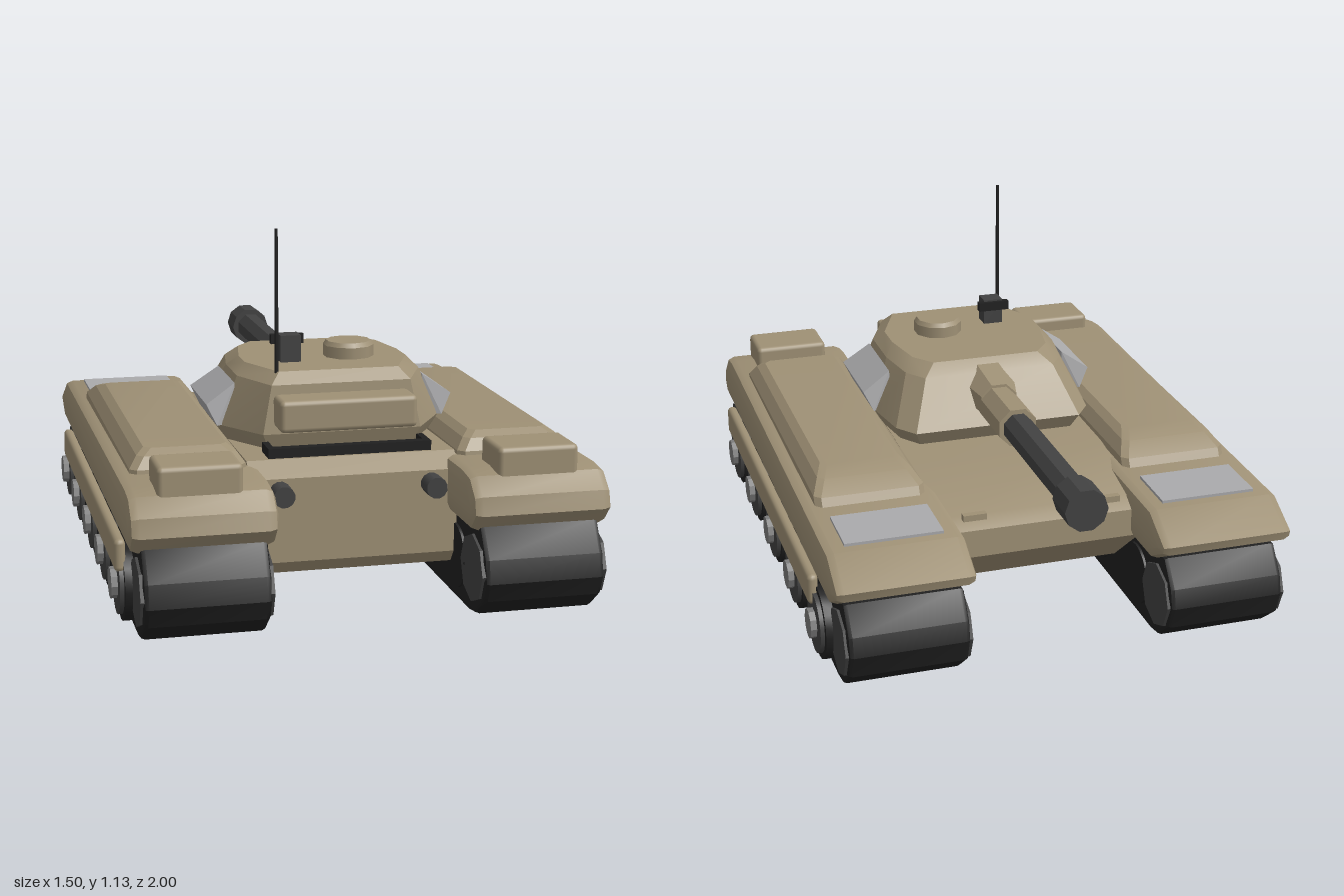
import * as THREE from 'three';
import { ConvexGeometry } from 'three/addons/geometries/ConvexGeometry.js';
import { RoundedBoxGeometry } from 'three/addons/geometries/RoundedBoxGeometry.js';
import { toCreasedNormals } from 'three/addons/utils/BufferGeometryUtils.js';

function paint(name, color) {
  const m = new THREE.MeshStandardMaterial({ color });
  m.name = name;
  return m;
}

// Side profile of [z, y] points, extruded from x0 to x1 with bevelled sides
function prism(profile, x0, x1, bevel) {
  const shape = new THREE.Shape(profile.map(([z, y]) => new THREE.Vector2(z, y)));
  const geo = new THREE.ExtrudeGeometry(shape, {
    depth: x1 - x0 - 2 * bevel, bevelEnabled: bevel > 0, bevelThickness: bevel,
    bevelSize: bevel, bevelOffset: -bevel, bevelSegments: 2,
  });
  geo.rotateY(-Math.PI / 2);
  geo.translate(x1 - bevel, 0, 0);
  return toCreasedNormals(geo, 0.5);
}

// Solid around a set of [x, y, z] points
const solid = (points) => new ConvexGeometry(points.map((p) => new THREE.Vector3(...p)));

// Rectangle ring at height y, with chamfered corners
function ring(y, w, z0, z1, c) {
  const pts = [];
  for (const s of [-1, 1]) {
    pts.push([s * w, y, z0 + c], [s * w, y, z1 - c], [s * (w - c), y, z0], [s * (w - c), y, z1]);
  }
  return pts;
}

export function createModel() {
  const root = new THREE.Group();
  root.name = 'tank';
  const tan = paint('tan armour', 0x9e9075);
  const black = paint('track black', 0x202020);
  const iron = paint('dark iron', 0x424242);
  const steel = paint('hub steel', 0x7c7c7c);
  const pale = paint('pale grey plate', 0xaaaaac);

  function add(name, geo, mat, x = 0, y = 0, z = 0) {
    const mesh = new THREE.Mesh(geo, mat);
    mesh.name = name;
    mesh.position.set(x, y, z);
    root.add(mesh);
    return mesh;
  }
  const box = (name, w, h, d, mat, x, y, z) => add(name, new THREE.BoxGeometry(w, h, d), mat, x, y, z);
  const soft = (name, w, h, d, mat, x, y, z) =>
    add(name, new RoundedBoxGeometry(w, h, d, 2, 0.016), mat, x, y, z);
  const disc = (name, r, len, sides, mat, x, y, z) => {
    const geo = new THREE.CylinderGeometry(r, r, len, sides).rotateZ(Math.PI / 2);
    return add(name, toCreasedNormals(geo, 0.6), mat, x, y, z);
  };
  // Tube along z from z0 (radius r0) to z1 (radius r1), z0 > z1
  const tube = (name, r0, r1, z0, z1, sides, mat, x, y) => {
    const geo = new THREE.CylinderGeometry(r0, r1, z0 - z1, sides, 1, false, Math.PI / sides);
    geo.rotateX(Math.PI / 2);
    return add(name, toCreasedNormals(geo, 0.6), mat, x, y, (z0 + z1) / 2);
  };

  // Hull between the tracks
  add('hull', prism([[0.71, 0.15], [0.68, 0.11], [-0.42, 0.11], [-0.63, 0.28], [-0.63, 0.37],
    [-0.58, 0.40], [-0.25, 0.445], [0.65, 0.455], [0.71, 0.41]], -0.325, 0.325, 0), tan);

  const trackProfile = [[1.0, 0.13], [0.985, 0.2], [0.93, 0.29], [-0.83, 0.29], [-0.89, 0.21],
    [-0.905, 0.15], [-0.88, 0.075], [-0.8, 0.01], [-0.74, 0], [0.84, 0], [0.9, 0.01], [0.975, 0.07]];
  const fenderProfile = [[0.97, 0.33], [0.955, 0.385], [0.9, 0.435], [0.82, 0.445], [-0.76, 0.425],
    [-0.89, 0.355], [-0.88, 0.325], [-0.78, 0.27], [0.92, 0.275]];

  for (const s of [-1, 1]) {
    const span = (a, b) => (s > 0 ? [a, b] : [-b, -a]);

    // Running gear
    add('track', prism(trackProfile, ...span(0.318, 0.69), 0.015), black);
    for (const z of [0.885, -0.79]) {
      disc('endWheel', 0.105, 0.388, 8, iron, s * 0.504, 0.15, z);
    }
    for (let i = 0; i < 5; i++) {
      const z = 0.72 - i * 0.335;
      disc('roadWheelTyre', 0.115, 0.05, 20, black, s * 0.695, 0.13, z);
      disc('roadWheel', 0.095, 0.05, 20, iron, s * 0.708, 0.13, z);
      disc('wheelHub', 0.047, 0.05, 10, steel, s * 0.727, 0.13, z);
      disc('innerRoadWheel', 0.1, 0.03, 20, black, s * 0.325, 0.14, z);
    }

    // Fender, skirt and raised side deck
    add('fender', prism(fenderProfile, ...span(0.288, 0.724), 0.03), tan);
    soft('skirt', 0.034, 0.1, 1.41, tan, s * 0.729, 0.232, 0.095);
    const deck = [[0.42, 0.175, -0.46, 0.69, 0.02], [0.455, 0.175, -0.44, 0.685, 0.02],
      [0.49, 0.15, -0.38, 0.66, 0.02], [0.508, 0.125, -0.31, 0.63, 0.02]].flatMap((r) => ring(...r));
    add('sideDeck', toCreasedNormals(solid(deck), 0.3), tan, s * 0.505);
    soft('rearLocker', 0.25, 0.105, 0.17, tan, s * 0.508, 0.464, 0.82);
    const plate = box('deckPlate', 0.305, 0.009, 0.19, pale, s * 0.503, 0.432, -0.633);
    plate.rotation.x = -0.013;

    // Front brackets and exhausts
    box('frontBracket', 0.075, 0.02, 0.022, tan, s * 0.218, 0.405, -0.602);
    tube('exhaust', 0.033, 0.033, 0.775, 0.66, 12, iron, s * 0.235, 0.37);

    // Wedge plate on the turret flank
    const wedge = [];
    for (const e of [-1, 1]) {
      wedge.push([s * 0.305, 0.635, 0.23 + e * 0.138], [s * 0.397, 0.572, 0.23 + e * 0.148],
        [s * 0.365, 0.505, 0.23 + e * 0.158], [s * 0.3, 0.51, 0.23 + e * 0.138]);
    }
    add('flankWedge', solid(wedge), pale);

    box('rackArm', 0.02, 0.03, 0.09, black, s * 0.245, 0.47, 0.59);
  }

  // Turret: stacked outlines of half widths and depths
  const turretRings = [
    // y, front half width, shoulder, rear half width, front z, rear z
    [0.455, 0.26, 0.335, 0.23, -0.13, 0.52],
    [0.505, 0.28, 0.358, 0.25, -0.16, 0.54],
    [0.655, 0.22, 0.295, 0.22, -0.06, 0.525],
    [0.69, 0.18, 0.262, 0.19, -0.015, 0.49],
  ];
  const turretPoints = [];
  for (const [y, f, w, r, z0, z1] of turretRings) {
    for (const s of [-1, 1]) {
      turretPoints.push([s * f, y, z0], [s * (f * 0.35 + w * 0.65), y, z0 + 0.07],
        [s * w, y, z0 + 0.23], [s * w, y, z1 - 0.17], [s * r, y, z1]);
    }
  }
  add('turret', toCreasedNormals(solid(turretPoints), 0.35), tan);

  // Main gun
  tube('gunMantlet', 0.105, 0.065, 0.0, -0.16, 8, tan, 0, 0.585);
  tube('gunSleeve', 0.066, 0.066, -0.14, -0.36, 8, tan, 0, 0.575);
  tube('barrel', 0.05, 0.05, -0.34, -0.91, 8, iron, 0, 0.575);
  tube('muzzle', 0.067, 0.067, -0.89, -1.0, 10, iron, 0, 0.575);

  // Turret roof fittings
  const hatch = new THREE.CylinderGeometry(0.072, 0.081, 0.014, 10);
  add('hatchRim', hatch, tan, 0.083, 0.733, 0.28);
  add('hatch', new THREE.CylinderGeometry(0.081, 0.081, 0.04, 10), tan, 0.083, 0.706, 0.28);
  box('sightPost', 0.065, 0.09, 0.06, iron, -0.122, 0.73, 0.325);
  box('sightBar', 0.106, 0.03, 0.022, black, -0.122, 0.755, 0.294);
  add('antenna', new THREE.CylinderGeometry(0.005, 0.007, 0.46, 6), black, -0.195, 0.9, 0.48);

  // Stowage behind the turret
  soft('turretBin', 0.43, 0.1, 0.12, tan, 0, 0.576, 0.57);
  box('rackBar', 0.51, 0.03, 0.03, black, 0, 0.47, 0.625);

  return root;
}
